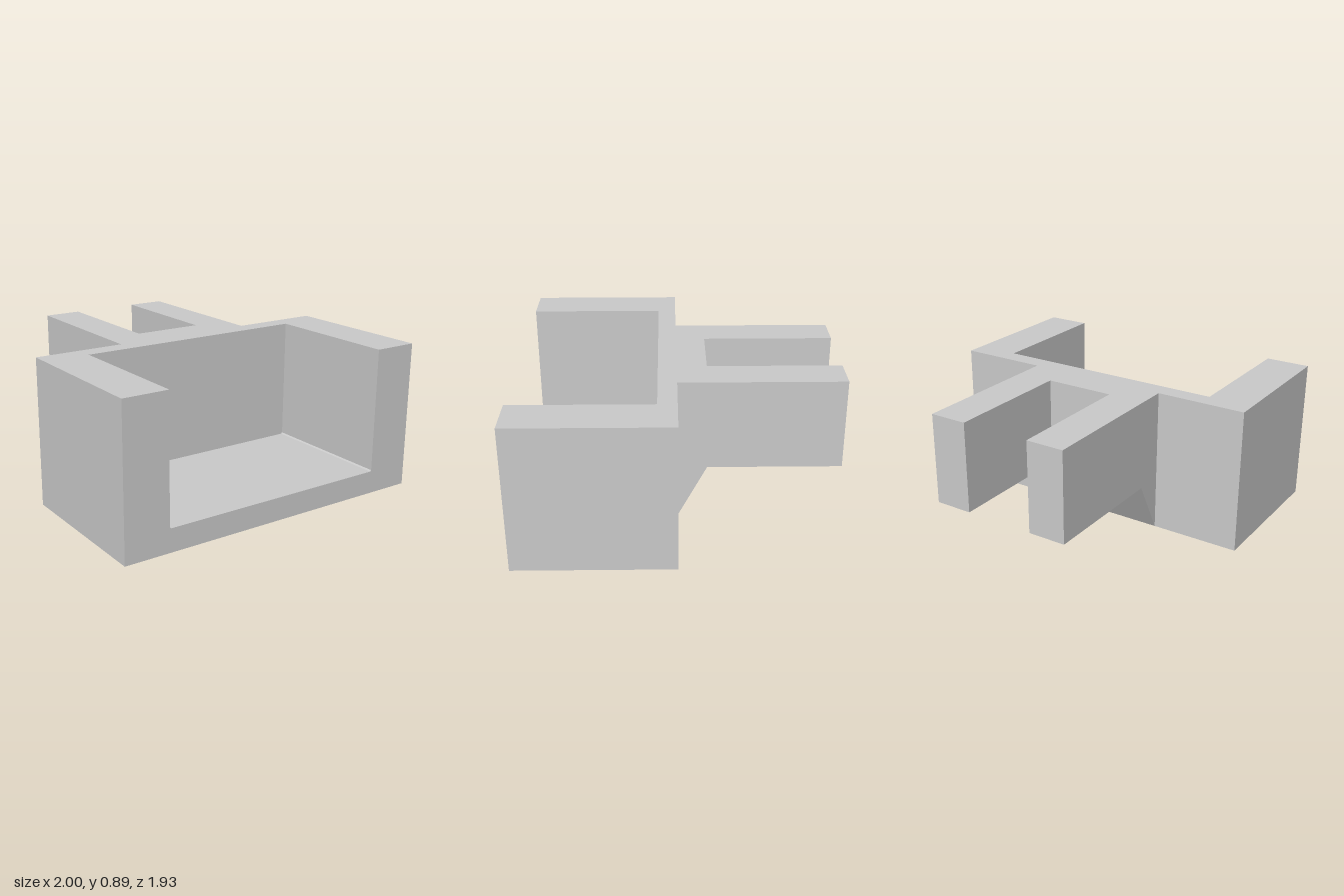
import * as THREE from 'three';

const H = 0.895;       // overall height
const FRONT = 0.965;   // front and back extent in z
const WALL_BACK = 0.018, WALL_FRONT = 0.13;
const ARM_IN = 0.215, ARM_OUT = 0.447;
const BRIDGE_BACK = -0.16, ARM_BOTTOM = 0.34;

export function createModel() {
  const group = new THREE.Group();
  const material = new THREE.MeshStandardMaterial({ color: 0xcccccc, flatShading: true });

  const add = (name, geometry) => {
    const mesh = new THREE.Mesh(geometry, material);
    mesh.name = name;
    group.add(mesh);
  };
  const box = (name, x0, x1, y0, y1, z0, z1) => add(name,
    new THREE.BoxGeometry(x1 - x0, y1 - y0, z1 - z0)
      .translate((x0 + x1) / 2, (y0 + y1) / 2, (z0 + z1) / 2));
  const extrude = (points, depth) => new THREE.ExtrudeGeometry(
    new THREE.Shape(points.map(([x, y]) => new THREE.Vector2(x, y))),
    { depth, bevelEnabled: false });

  // U-shaped tray: floor and side walls, with tiny chamfers in the inner corners
  const w = 0.725, f = 0.14, c = 0.008;
  add('tray', extrude([
    [-1, 0], [1, 0], [1, H], [w, H], [w, f + c], [w - c, f],
    [-w + c, f], [-w, f + c], [-w, H], [-1, H],
  ], FRONT - WALL_FRONT).translate(0, 0, WALL_FRONT));

  // Wall closing the tray at the back
  box('backWall', -1, 1, 0, H, WALL_BACK, WALL_FRONT);

  // Bridge behind the wall with a sloped underside (profile in z, y)
  add('bridge', extrude([
    [WALL_BACK, 0], [WALL_BACK, H], [BRIDGE_BACK, H], [BRIDGE_BACK, ARM_BOTTOM],
  ], 2 * ARM_OUT).rotateY(-Math.PI / 2).translate(ARM_OUT, 0, 0));

  // Pair of arms reaching backwards
  box('leftArm', ARM_IN, ARM_OUT, ARM_BOTTOM, H, -FRONT, BRIDGE_BACK);
  box('rightArm', -ARM_OUT, -ARM_IN, ARM_BOTTOM, H, -FRONT, BRIDGE_BACK);

  return group;
}
